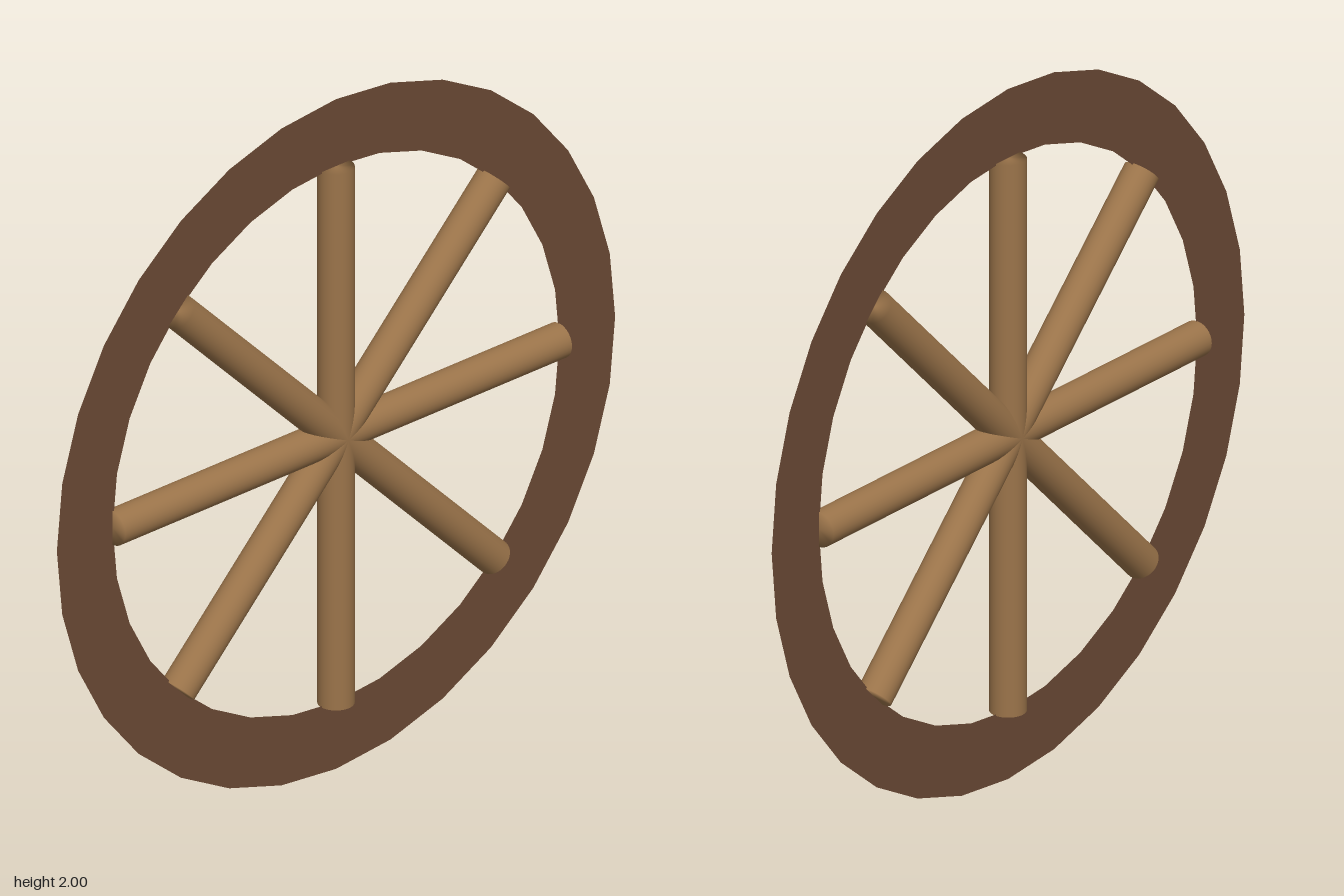
import * as THREE from 'three';

const RIM_COLOR = 0x6b4a35;
const SPOKE_COLOR = 0x9b744a;
const OUTER = 1, INNER = 0.8, SPOKE_RADIUS = 0.05;

// Round rod whose flat end caps are shaded softly, like rounded ends
function rodGeometry(radius, length) {
  const geometry = new THREE.CylinderGeometry(radius, radius, length, 32);
  const { position, normal } = geometry.attributes;
  for (let i = 0; i < position.count; i++) {
    const x = position.getX(i), z = position.getZ(i);
    const r = Math.hypot(x, z);
    if (r > radius / 2) normal.setXYZ(i, x / r, 0, z / r);
  }
  return geometry;
}

export function createModel() {
  const wheel = new THREE.Group();
  wheel.name = 'wheel';

  // Flat, paper-thin rim
  const rim = new THREE.Mesh(
    new THREE.RingGeometry(INNER, OUTER, 32),
    new THREE.MeshStandardMaterial({ color: RIM_COLOR, side: THREE.DoubleSide })
  );
  rim.name = 'rim';
  rim.position.y = OUTER;
  wheel.add(rim);

  // Four rods across the full opening make eight spokes
  const spokes = new THREE.Group();
  spokes.name = 'spokes';
  spokes.position.y = OUTER;
  const geometry = rodGeometry(SPOKE_RADIUS, INNER * 2);
  const material = new THREE.MeshStandardMaterial({ color: SPOKE_COLOR });
  for (let i = 0; i < 4; i++) {
    const spoke = new THREE.Mesh(geometry, material);
    spoke.name = `spokePair${i + 1}`;
    spoke.rotation.z = (i * Math.PI) / 4;
    spokes.add(spoke);
  }
  wheel.add(spokes);

  return wheel;
}
